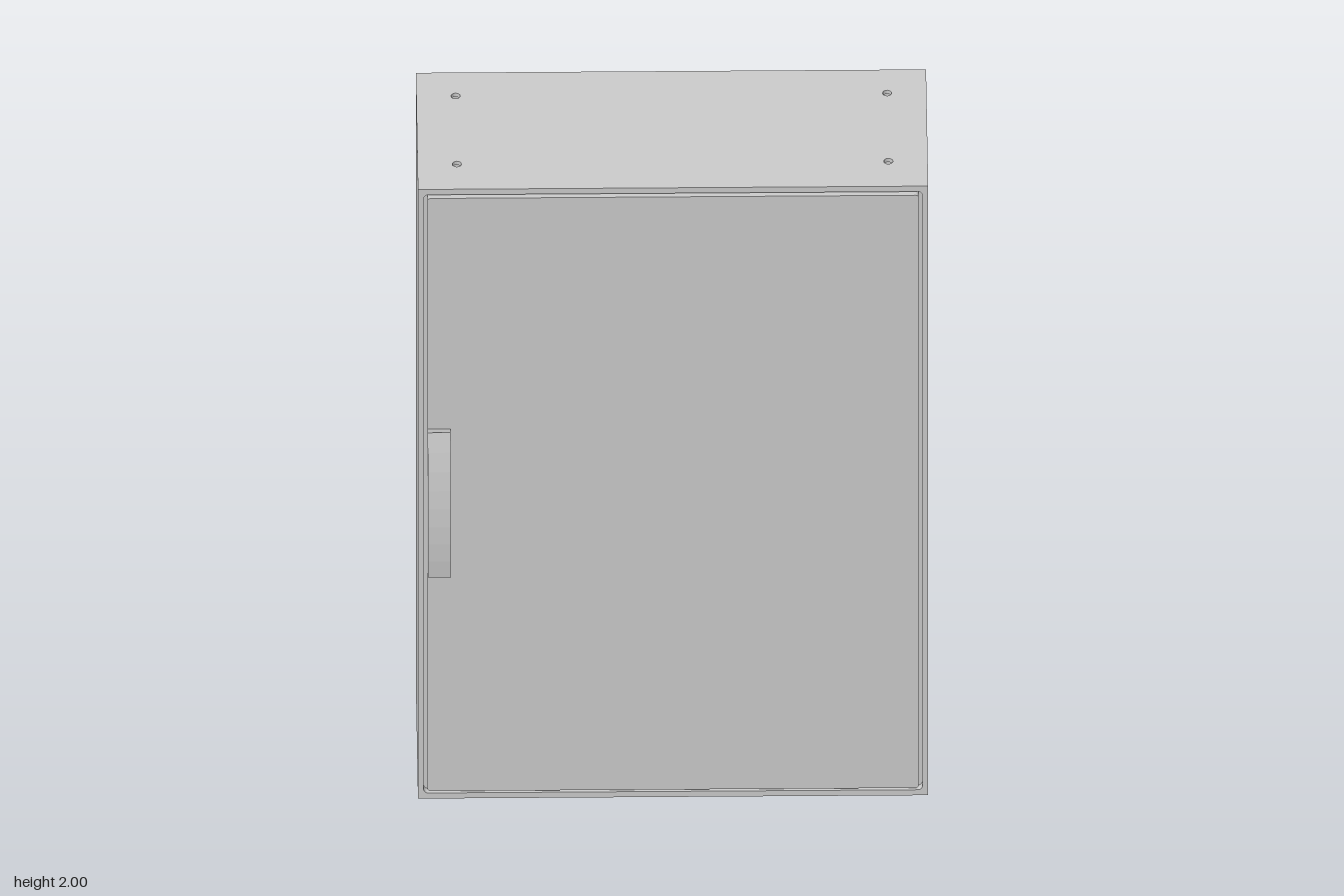
import * as THREE from 'three';

const W = 1.33, H = 2, ZB = -0.285, ZF = 0.215, T = 0.012;
const D = ZF - ZB, ZC = (ZF + ZB) / 2;
const material = new THREE.MeshStandardMaterial({ color: 0xcccccc });

function add(group, name, geometry, x = 0, y = 0, z = 0) {
  const mesh = new THREE.Mesh(geometry, material);
  mesh.name = name;
  mesh.position.set(x, y, z);
  group.add(mesh);
  return mesh;
}

// Closed rectangle, optionally with small corner radius
function rect(x0, y0, x1, y1, r = 0, Type = THREE.Path) {
  const p = new Type();
  if (!r) {
    p.moveTo(x0, y0).lineTo(x1, y0).lineTo(x1, y1).lineTo(x0, y1).lineTo(x0, y0);
    return p;
  }
  p.absarc(x1 - r, y0 + r, r, -Math.PI / 2, 0);
  p.absarc(x1 - r, y1 - r, r, 0, Math.PI / 2);
  p.absarc(x0 + r, y1 - r, r, Math.PI / 2, Math.PI);
  p.absarc(x0 + r, y0 + r, r, Math.PI, Math.PI * 1.5);
  p.closePath();
  return p;
}

const extrude = (shape, depth) =>
  new THREE.ExtrudeGeometry(shape, { depth, bevelEnabled: false, curveSegments: 8 });

// Horizontal panel with four mounting holes; shape y is -z
function panel(extraHoles = []) {
  const shape = rect(-W / 2, -ZF, W / 2, -ZB, 0, THREE.Shape);
  for (const x of [-0.5625, 0.5625])
    for (const z of [-0.185, 0.107]) {
      const hole = new THREE.Path();
      hole.absarc(x, -z, 0.012, 0, Math.PI * 2);
      shape.holes.push(hole);
    }
  shape.holes.push(...extraHoles);
  return extrude(shape, T).rotateX(-Math.PI / 2);
}

export function createModel() {
  const group = new THREE.Group();
  group.name = 'wallCabinet';

  // Shell panels
  const glands = [[-0.196, -0.058], [-0.054, 0.08]];
  add(group, 'topPanel', panel(), 0, H - T, 0);
  add(group, 'bottomPanel', panel(glands.map(([a, b]) => rect(-0.435, -b, 0.435, -a))));
  const wallDepth = D - 0.02;
  for (const s of [-1, 1])
    add(group, s > 0 ? 'leftWall' : 'rightWall', new THREE.BoxGeometry(T, H - 2 * T, wallDepth),
      s * (W - T) / 2, H / 2, ZB + wallDepth / 2);
  add(group, 'backWall', new THREE.BoxGeometry(W - 2 * T, H - 2 * T, T), 0, H / 2, ZB + T / 2);

  // Cable entry plates, slightly recessed in the bottom
  for (const [a, b] of glands)
    add(group, 'glandPlate', new THREE.BoxGeometry(0.87, 0.007, b - a), 0, 0.0085, (a + b) / 2);

  // Front frame and the seal behind the door gap
  const frame = rect(-W / 2, T, W / 2, H - T, 0, THREE.Shape);
  frame.holes.push(rect(-0.65, 0.018, 0.65, 1.982, 0.012));
  add(group, 'frontFrame', extrude(frame, 0.02), 0, 0, ZF - 0.02);
  add(group, 'doorSeal', new THREE.BoxGeometry(W - 2 * T, H - 2 * T, 0.008), 0, H / 2, ZF - 0.024);

  // Door standing slightly proud of the frame
  const door = rect(-0.64, 0.028, 0.64, 1.974, 0.008, THREE.Shape);
  add(group, 'door', extrude(door, 0.025), 0, 0, 0.195);

  // Curved handle, profile in z (shape x) and y
  const grip = new THREE.Shape();
  grip.moveTo(0.215, 0.788);
  grip.lineTo(0.273, 0.77);
  grip.quadraticCurveTo(0.302, 1.0, 0.253, 1.23);
  grip.lineTo(0.215, 1.215);
  grip.closePath();
  const gripGeometry = extrude(grip, 0.06).rotateY(-Math.PI / 2);
  add(group, 'handle', gripGeometry, -0.58, 0, 0);

  return group;
}
